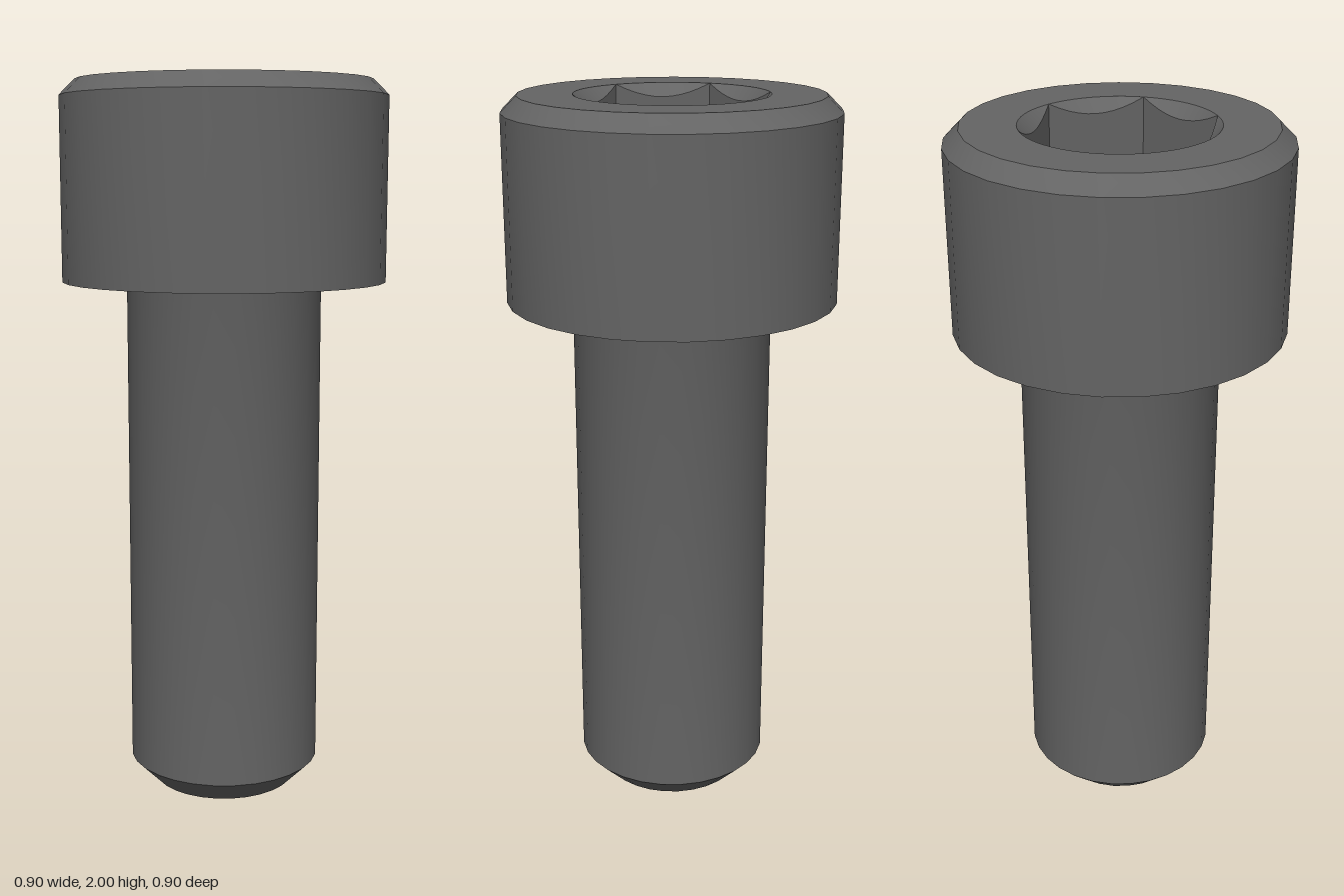
import * as THREE from 'three';
import { toCreasedNormals } from 'three/addons/utils/BufferGeometryUtils.js';

const SIDES = 29;        // facets round the head and shank
const SOCKET_SIDES = 60; // multiple of six, so the corners are exact
const SOCKET_R = 0.26;   // socket radius across the corners
const HEAD_BOTTOM = 1.455;
const TOP = 2;

const CREASE = 0.5;

function lathe(profile, sides) {
  return new THREE.LatheGeometry(profile.map(([r, y]) => new THREE.Vector2(r, y)), sides);
}

function circle(radius, sides) {
  return Array.from({ length: sides }, (_, i) => {
    const a = (i / sides) * Math.PI * 2;
    return new THREE.Vector2(radius * Math.sin(a), -radius * Math.cos(a));
  });
}

// Radius of the hexagon at an angle, with a corner facing +z
function hexRadius(angle) {
  const sector = Math.PI / 3;
  const local = angle - Math.floor(angle / sector) * sector - sector / 2;
  return SOCKET_R * Math.cos(sector / 2) / Math.cos(local);
}

// Countersunk rim, six flat walls and a conical floor
function socketGeometry() {
  const rings = 4;
  const geometry = lathe(Array.from({ length: rings }, () => [SOCKET_R, TOP]), SOCKET_SIDES);
  const pos = geometry.attributes.position;
  const floorEdge = TOP - 0.27;
  const slope = Math.tan(Math.PI / 6);
  for (let i = 0; i < pos.count; i++) {
    const angle = (Math.floor(i / rings) / SOCKET_SIDES) * Math.PI * 2;
    const hex = hexRadius(angle + 1e-9);
    const [r, y] = [
      [SOCKET_R, TOP],
      [hex, TOP - (SOCKET_R - hex)],
      [hex, floorEdge - (SOCKET_R - hex) * slope],
      [0, floorEdge - SOCKET_R * slope],
    ][i % rings];
    pos.setXYZ(i, r * Math.sin(angle), y, r * Math.cos(angle));
  }
  return geometry;
}

export function createModel() {
  const group = new THREE.Group();
  const steel = new THREE.MeshStandardMaterial({ color: 0x646464 });
  steel.name = 'dark steel';

  const add = (name, geometry) => {
    const mesh = new THREE.Mesh(toCreasedNormals(geometry, CREASE), steel);
    mesh.name = name;
    group.add(mesh);
  };

  // Shank with chamfered tip and a small fillet below the head
  const shankR = 0.272, fillet = 0.015;
  const shank = [[0, 0], [0.202, 0], [shankR, 0.07]];
  for (let i = 0; i <= 4; i++) {
    const a = (i / 4) * Math.PI / 2;
    shank.push([shankR + fillet * (1 - Math.cos(a)), HEAD_BOTTOM - fillet * (1 - Math.sin(a))]);
  }
  add('shank', lathe(shank, SIDES));

  // Head underside, side and top chamfer
  add('head', lathe([
    [shankR + fillet, HEAD_BOTTOM], [0.45, HEAD_BOTTOM], [0.45, 1.957], [0.407, TOP],
  ], SIDES));

  // Flat ring round the socket
  const face = new THREE.Shape(circle(0.407, SIDES));
  face.holes.push(new THREE.Path(circle(SOCKET_R, SOCKET_SIDES)));
  add('headTop', new THREE.ShapeGeometry(face).rotateX(-Math.PI / 2).translate(0, TOP, 0));

  add('hexSocket', socketGeometry());
  return group;
}
